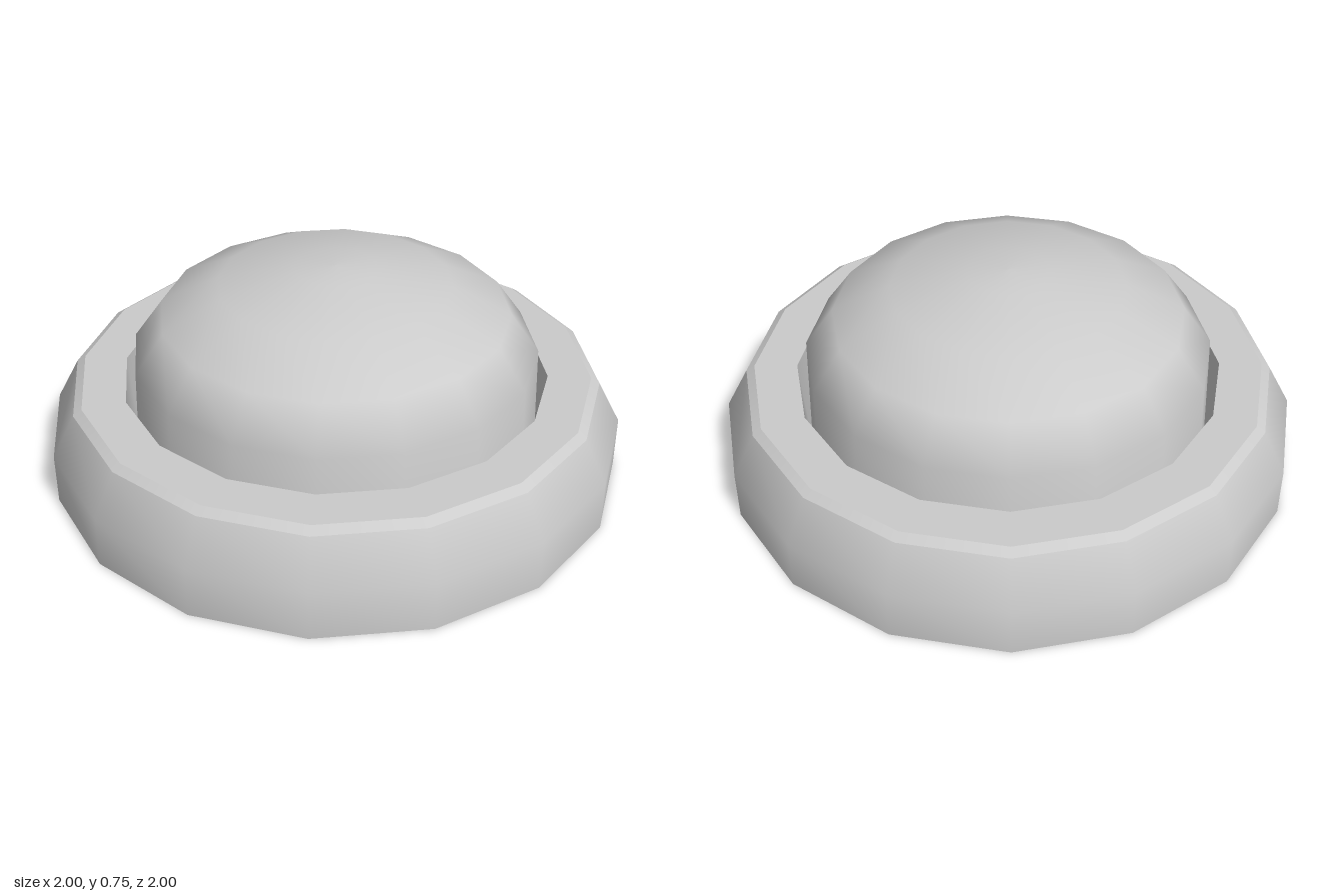
import * as THREE from 'three';

const SIDES = 16;

export function createModel() {
  const group = new THREE.Group();
  const material = new THREE.MeshStandardMaterial({ color: 0xcccccc, side: THREE.DoubleSide });

  // Each part is a turned band; separate bands keep the edges between them crisp.
  const addTurned = (name, profile) => {
    const points = profile.map(([r, y]) => new THREE.Vector2(r, y));
    const mesh = new THREE.Mesh(new THREE.LatheGeometry(points, SIDES), material);
    mesh.name = name;
    group.add(mesh);
  };

  // Outer ring, open underneath
  addTurned('ringOuterWall', [[1, 0], [1, 0.18], [0.92, 0.33]]);
  addTurned('ringBevel', [[0.92, 0.33], [0.89, 0.35]]);
  addTurned('ringTop', [[0.89, 0.35], [0.74, 0.35]]);

  // Narrow groove between ring and button
  addTurned('ringInnerWall', [[0.74, 0.35], [0.715, 0]]);

  // Domed button, hollow underneath
  addTurned('domedButton', [
    [0.715, 0], [0.7, 0.45], [0.6, 0.59], [0.4, 0.69], [0.14, 0.747], [0, 0.752],
  ]);

  return group;
}
